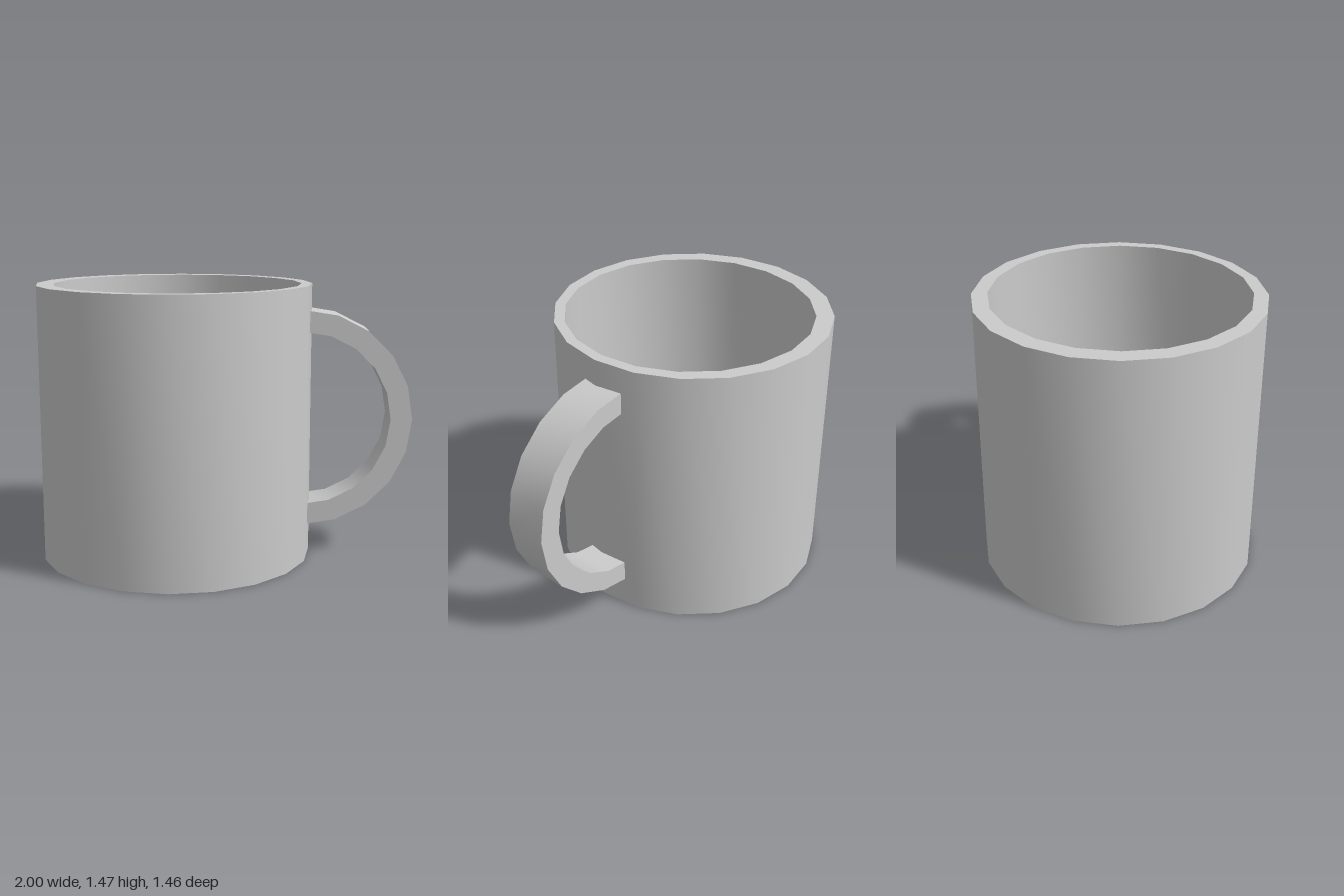
import * as THREE from 'three';
import { toCreasedNormals } from 'three/addons/utils/BufferGeometryUtils.js';

const SIDES = 20;
const CREASE = Math.PI / 6;

export function createModel() {
  const group = new THREE.Group();
  group.name = 'mug';
  const material = new THREE.MeshStandardMaterial({ color: 0xcccccc });

  const add = (name, geometry) => {
    const mesh = new THREE.Mesh(toCreasedNormals(geometry, CREASE), material);
    mesh.name = name;
    group.add(mesh);
    return mesh;
  };

  // Cup: base, outer wall, rim, inner wall and floor in one profile
  const profile = [
    [0, 0], [0.73, 0], [0.73, 1.465],
    [0.655, 1.465], [0.655, 0.09], [0, 0.09],
  ].map(([r, y]) => new THREE.Vector2(r, y));
  const cup = new THREE.LatheGeometry(profile, SIDES);
  // The cavity sits slightly off the cup's axis
  const pos = cup.attributes.position;
  for (let i = 0; i < pos.count; i++) {
    if (i % profile.length >= 3) {
      pos.setX(i, pos.getX(i) + 0.018);
      pos.setZ(i, pos.getZ(i) + 0.01);
    }
  }
  add('cup', cup).position.x = -0.27;

  // Handle: half of a faceted flat ring, its ends sunk into the cup wall
  const arc = (radius) => Array.from({ length: SIDES / 2 + 1 }, (_, i) => {
    const a = -Math.PI / 2 + (i * 2 * Math.PI) / SIDES;
    return new THREE.Vector2(radius * Math.cos(a), radius * Math.sin(a));
  });
  const ring = new THREE.Shape([...arc(0.585), ...arc(0.47).reverse()]);
  const handle = new THREE.ExtrudeGeometry(ring, { depth: 0.23, bevelEnabled: false });
  add('handle', handle).position.set(0.415, 0.745, -0.15);

  return group;
}
